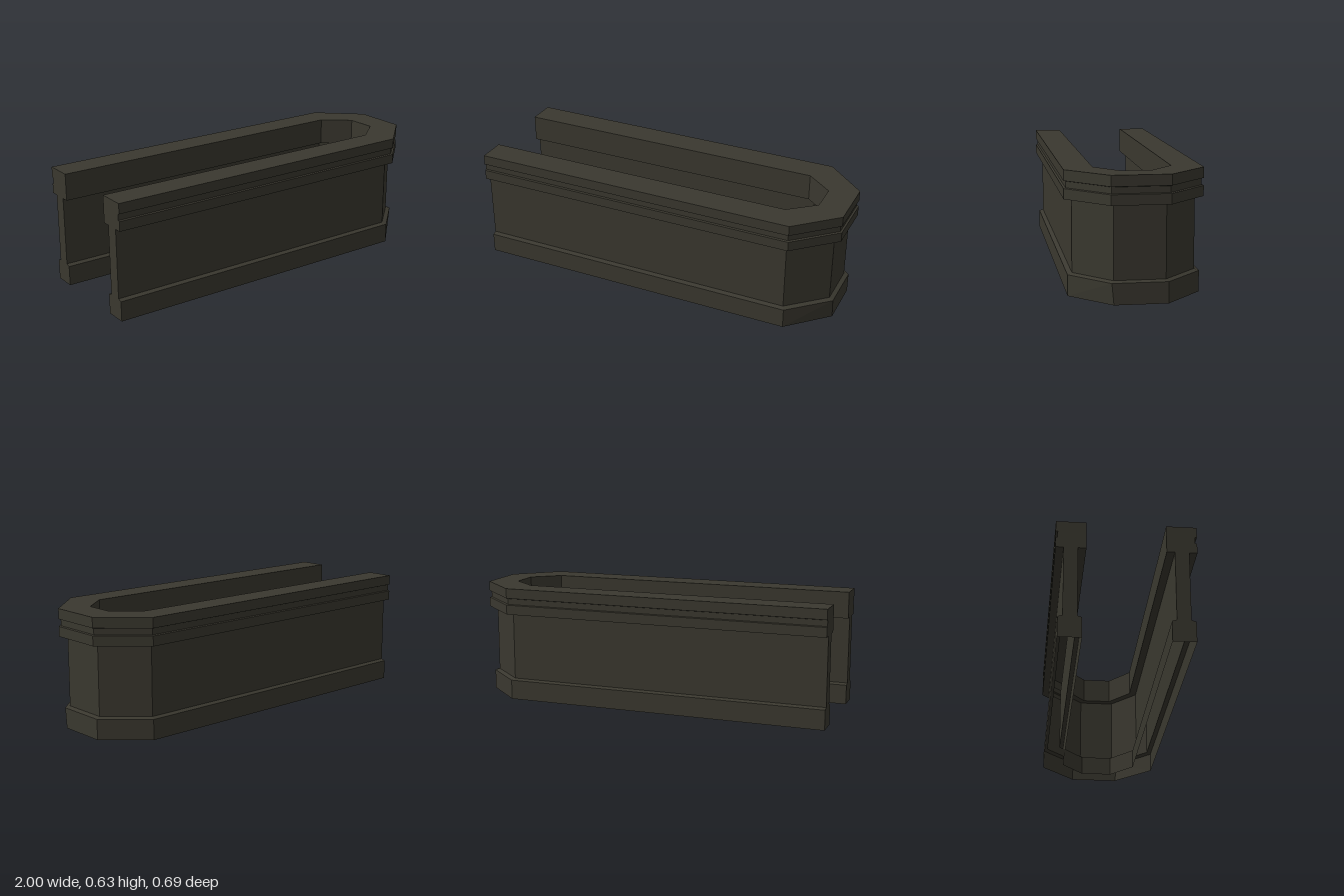
import * as THREE from 'three';

const stone = new THREE.MeshStandardMaterial({ color: 0x3a382f, side: THREE.DoubleSide, flatShading: true });
stone.name = 'dark stone';

// Cross-section pieces as [distance from the centre line, height], running up the
// outside, over the top and down the inside; the underside is left open
const outerBase = [[0.328, 0], [0.328, 0.107], [0.305, 0.115]];
const outerWall = [[0.305, 0.115], [0.305, 0.483]];
const cap = [
  [0.305, 0.483], [0.345, 0.483], [0.345, 0.535], [0.335, 0.538], [0.335, 0.57],
  [0.345, 0.573], [0.345, 0.627], [0.195, 0.627], [0.195, 0.483], [0.235, 0.483],
];
const innerWall = [[0.235, 0.483], [0.235, 0.115]];
const innerBase = [[0.235, 0.115], [0.212, 0.107], [0.212, 0]];

// U-shaped plan with chamfered corners, at a given distance and height
function ring([d, y]) {
  const t = (d - 0.195) / 0.15;
  const ax = 0.71 + 0.075 * t, bx = 0.85 + 0.15 * t, bz = 0.08 + 0.065 * t;
  // the outer bottom edge is slightly skewed at one corner
  const skew = y === 0 && d > 0.3 ? 0.01 : 0;
  return [[-1, y, d], [ax, y, d], [bx, y, bz - skew], [bx, y, -bz], [ax, y, -d], [-1, y, -d]];
}

// Sweep a piece of the cross-section round the plan
function sweep(name, profile) {
  const rings = profile.map(ring), pos = [];
  for (let j = 0; j < rings.length - 1; j++) {
    for (let i = 0; i < 5; i++) {
      const a = rings[j][i], b = rings[j][i + 1], c = rings[j + 1][i + 1], d = rings[j + 1][i];
      pos.push(...a, ...b, ...c, ...a, ...c, ...d);
    }
  }
  const geo = new THREE.BufferGeometry();
  geo.setAttribute('position', new THREE.Float32BufferAttribute(pos, 3));
  geo.computeVertexNormals();
  const mesh = new THREE.Mesh(geo, stone);
  mesh.name = name;
  return mesh;
}

// Flat face closing one arm of the U
function armEnd(name, side) {
  const outline = [...outerBase, ...cap, ...innerBase].map(([d, y]) => new THREE.Vector2(d * side, y));
  const geo = new THREE.ShapeGeometry(new THREE.Shape(outline));
  geo.rotateY(-Math.PI / 2).translate(-1, 0, 0);
  const mesh = new THREE.Mesh(geo, stone);
  mesh.name = name;
  return mesh;
}

export function createModel() {
  const group = new THREE.Group();
  group.name = 'parapetWall';
  group.add(
    sweep('outerBase', outerBase),
    sweep('outerWall', outerWall),
    sweep('cap', cap),
    sweep('innerWall', innerWall),
    sweep('innerBase', innerBase),
    armEnd('frontArmEnd', 1),
    armEnd('backArmEnd', -1),
  );
  return group;
}
